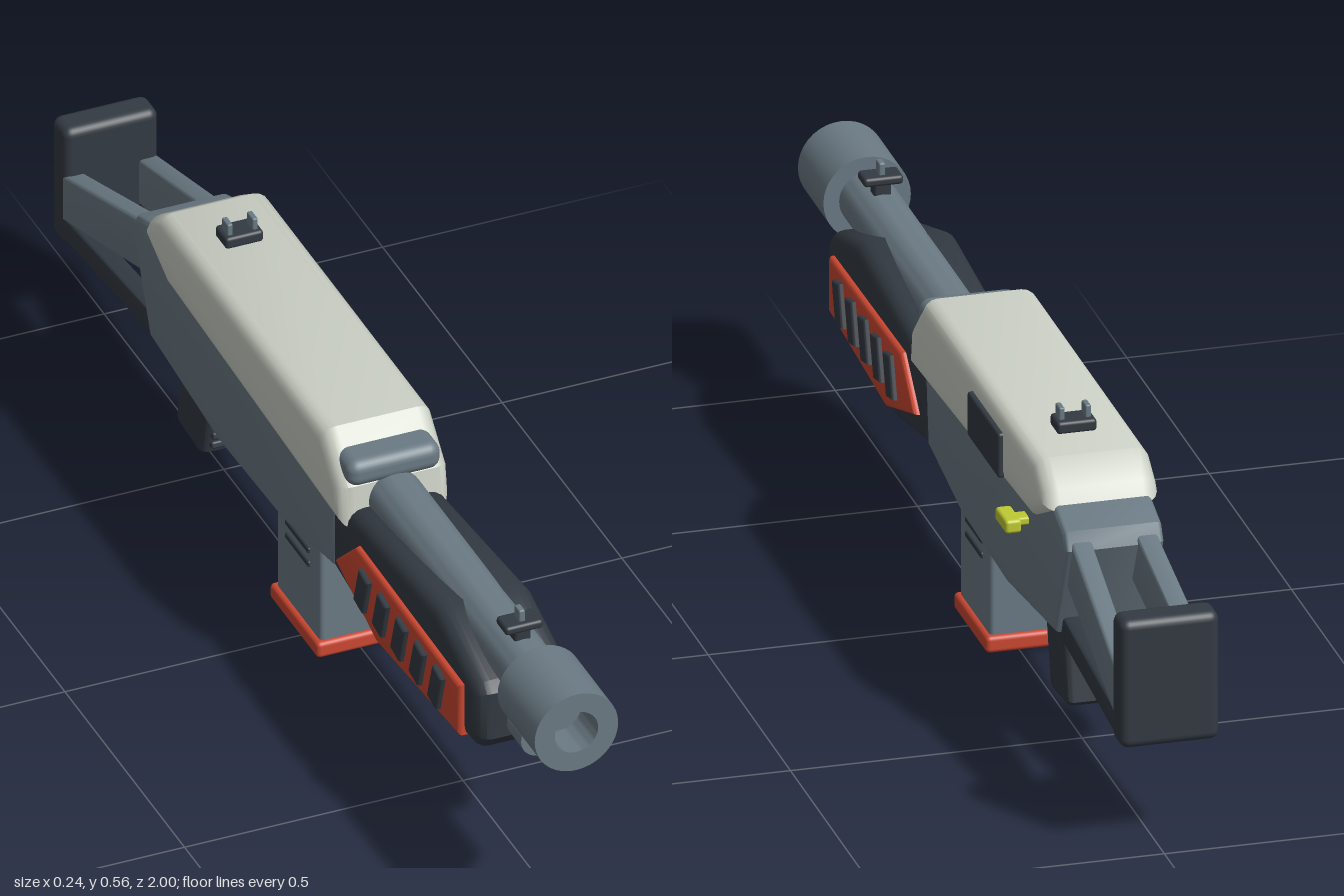
import * as THREE from 'three';
import { toCreasedNormals } from 'three/addons/utils/BufferGeometryUtils.js';
import { RoundedBoxGeometry } from 'three/addons/geometries/RoundedBoxGeometry.js';

const colour = (name, hex) => {
  const m = new THREE.MeshStandardMaterial({ color: hex });
  m.name = name;
  return m;
};

export function createModel() {
  const steel = colour('steel grey', 0x6b7a84);
  const dark = colour('dark rubber', 0x333a42);
  const pale = colour('pale shell', 0xcbd0c5);
  const red = colour('red accent', 0xcb4731);
  const yellow = colour('yellow handle', 0xbfca33);

  const root = new THREE.Group();
  root.name = 'toyBlaster';
  root.position.x = -0.011;

  const add = (name, geo, mat, x = 0, y = 0, z = 0) => {
    const m = new THREE.Mesh(geo, mat);
    m.name = name;
    m.position.set(x, y, z);
    root.add(m);
    return m;
  };

  // Side profile given as [z, y] points, extruded across x with rounded edges
  const slab = (points, width, bevel) => {
    const shape = new THREE.Shape(points.map(([z, y]) => new THREE.Vector2(z, y)));
    const geo = new THREE.ExtrudeGeometry(shape, {
      depth: width - 2 * bevel, bevelThickness: bevel, bevelSize: bevel,
      bevelOffset: -bevel, bevelSegments: 4,
    });
    geo.translate(0, 0, -(width - 2 * bevel) / 2);
    geo.rotateY(-Math.PI / 2);
    return toCreasedNormals(geo, 0.6);
  };

  const block = (name, mat, w, h, d, x, y, z, r = 0.006) =>
    add(name, new RoundedBoxGeometry(w, h, d, 3, r), mat, x, y, z);

  // Turned part along z, from [radius, z] points
  const turned = (points) => {
    const geo = new THREE.LatheGeometry(points.map(([r, z]) => new THREE.Vector2(r, z)), 36);
    geo.rotateX(Math.PI / 2);
    return toCreasedNormals(geo, 0.6);
  };

  // Barrel, muzzle and lower tube
  add('barrel', turned([[0, 0.15], [0.048, 0.15], [0.048, 0.86], [0, 0.86]]), steel, 0, 0.408);
  add('muzzle', turned([[0, 0.845], [0.075, 0.845], [0.075, 1], [0.039, 1], [0.039, 0.93], [0, 0.93]]),
    steel, 0, 0.408);
  add('lowerTube', turned([[0, 0.3], [0.035, 0.3], [0.035, 0.85], [0, 0.85]]), steel, 0, 0.305);

  // Receiver, pale top shell and barrel collar
  add('receiver', slab([[0.2, 0.42], [0.18, 0.252], [-0.03, 0.212], [-0.3, 0.203], [-0.59, 0.235],
    [-0.665, 0.41], [-0.648, 0.44], [-0.56, 0.47], [0.15, 0.47]], 0.17, 0.012), steel);
  add('topShell', slab([[0.25, 0.368], [0.24, 0.445], [0.165, 0.52], [-0.52, 0.52], [-0.572, 0.485],
    [-0.592, 0.452], [-0.485, 0.4]], 0.2, 0.028), pale);
  block('collar', steel, 0.168, 0.05, 0.08, 0, 0.468, 0.208, 0.02);

  // Handguard with red panels and slanted ribs
  add('handguard', slab([[0.79, 0.37], [0.775, 0.388], [0.61, 0.44], [0.25, 0.405], [0.17, 0.37],
    [0.17, 0.25], [0.38, 0.213], [0.77, 0.255], [0.79, 0.28]], 0.174, 0.028), dark);
  for (const s of [-1, 1]) {
    add('sidePanel', slab([[0.735, 0.362], [0.3, 0.369], [0.215, 0.292], [0.39, 0.235], [0.735, 0.262]],
      0.03, 0.008), red, s * 0.083);
    for (let i = 0; i < 5; i++) {
      const z = 0.652 - i * 0.077;
      add('panelRib', slab([[z + 0.03, 0.343], [z - 0.008, 0.35], [z - 0.03, 0.278], [z + 0.008, 0.27]],
        0.03, 0.005), dark, s * 0.093);
    }
  }

  // Sights
  block('rearSightBase', dark, 0.068, 0.022, 0.048, 0, 0.529, -0.409);
  for (const s of [-1, 1]) block('rearSightPost', steel, 0.01, 0.03, 0.026, s * 0.0225, 0.546, -0.407, 0.003);
  block('frontSightStem', dark, 0.03, 0.03, 0.03, 0, 0.464, 0.763);
  block('frontSightBase', dark, 0.068, 0.016, 0.044, 0, 0.481, 0.763);
  block('frontSightPost', steel, 0.011, 0.026, 0.022, 0, 0.497, 0.763, 0.003);

  // Port cover and handle on the model's left side
  block('portCover', dark, 0.03, 0.08, 0.188, 0.094, 0.449, -0.242, 0.005);
  block('chargingHandle', yellow, 0.028, 0.024, 0.067, 0.116, 0.373, -0.424);
  block('handleStem', yellow, 0.05, 0.014, 0.03, 0.085, 0.373, -0.424, 0.004);

  // Magazine
  block('magazine', steel, 0.12, 0.24, 0.184, 0, 0.14, -0.023, 0.008);
  block('magazineBase', red, 0.138, 0.03, 0.202, 0, 0.015, -0.023, 0.008);
  for (let i = 0; i < 3; i++)
    for (const s of [-1, 1])
      block('magazineRib', dark, 0.012, 0.011, 0.098, s * 0.058, 0.155 + i * 0.027, -0.023, 0.003);

  // Trigger guard
  const guard = new THREE.CatmullRomCurve3([[-0.2, 0.215], [-0.225, 0.205], [-0.245, 0.192],
    [-0.36, 0.192], [-0.382, 0.203], [-0.395, 0.22]].map(([z, y]) => new THREE.Vector3(0, y, z)));
  add('triggerGuard', new THREE.TubeGeometry(guard, 30, 0.007, 8).scale(2.5, 1, 1), steel);

  // Grip with front ridges
  add('grip', slab([[-0.41, 0.235], [-0.53, 0.235], [-0.557, 0.09], [-0.545, 0.08], [-0.46, 0.073],
    [-0.444, 0.083]], 0.104, 0.012), dark);
  for (let i = 0; i < 6; i++) {
    const ridge = block('gripRidge', dark, 0.08, 0.013, 0.022, 0, 0.205 - i * 0.021, -0.418 - i * 0.0047, 0.004);
    ridge.rotation.x = -0.22;
  }

  // Stock struts and rails spread apart towards the butt pad
  const spread = (geo, s) => {
    const p = geo.attributes.position;
    for (let i = 0; i < p.count; i++)
      p.setX(i, p.getX(i) + s * (0.056 + 0.035 * (-0.65 - p.getZ(i))));
    geo.computeVertexNormals();
    return toCreasedNormals(geo, 0.6);
  };
  for (const s of [-1, 1]) {
    add('stockStrut', spread(slab([[-0.6, 0.435], [-0.65, 0.425], [-0.955, 0.328], [-0.955, 0.24],
      [-0.635, 0.33], [-0.6, 0.335]], 0.036, 0.006), s), steel);
    add('stockRail', spread(slab([[-0.56, 0.268], [-0.955, 0.25], [-0.955, 0.206], [-0.585, 0.22],
      [-0.56, 0.235]], 0.036, 0.006), s), dark);
  }
  block('buttPad', dark, 0.17, 0.23, 0.06, 0, 0.308, -0.97, 0.016);

  const model = new THREE.Group();
  model.name = 'model';
  model.add(root);
  return model;
}
